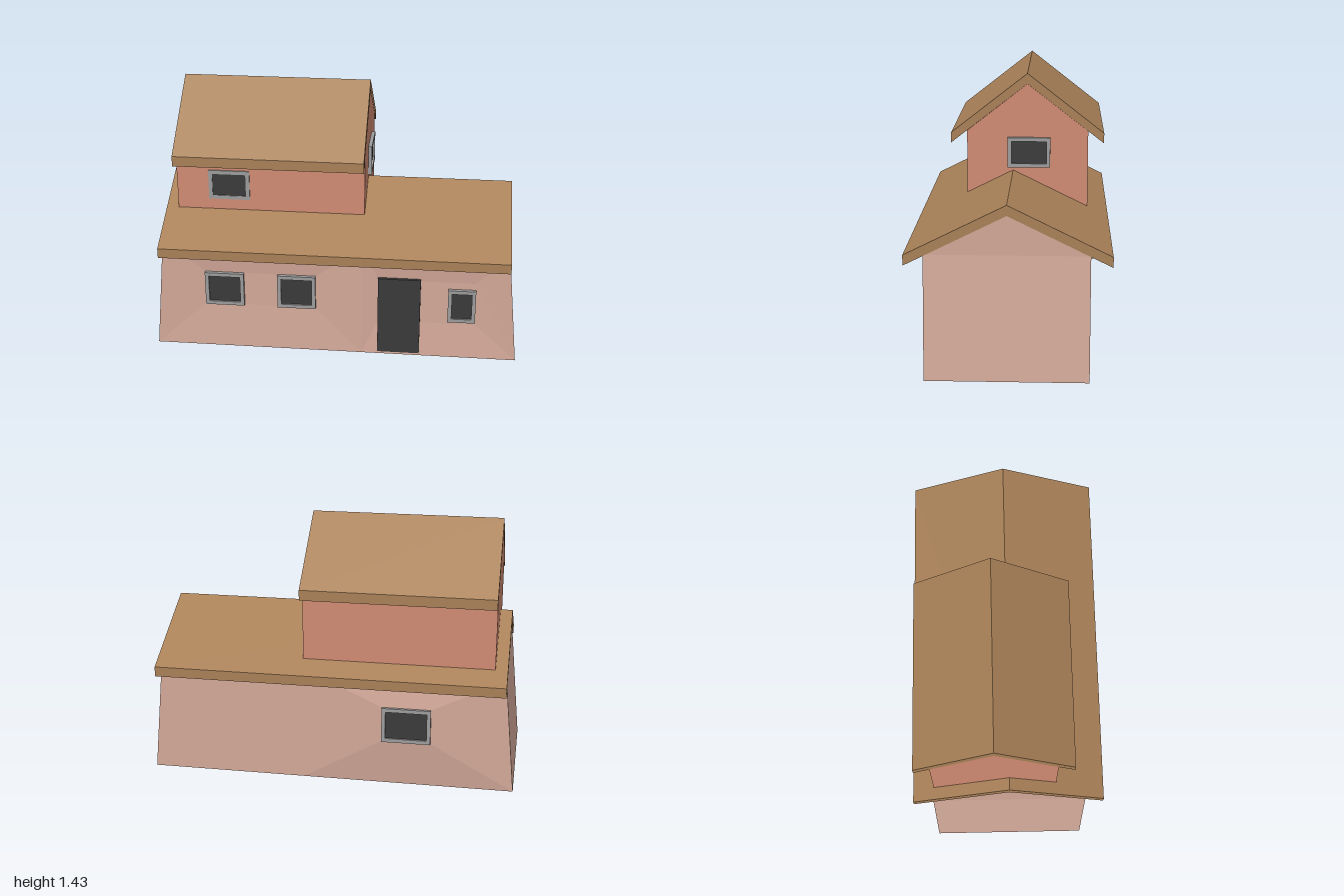
import * as THREE from 'three';

const material = (name, color) => {
  const m = new THREE.MeshStandardMaterial({ color });
  m.name = name;
  return m;
};

export function createModel() {
  const house = new THREE.Group();
  house.name = 'house';
  const lowerWall = material('pale pink plaster', 0xd2a898);
  const upperWall = material('terracotta plaster', 0xd08b73);
  const roofing = material('brown roofing', 0xa88057);
  const trim = material('grey trim', 0x9c9c9c);
  const dark = material('dark glass', 0x3a3a3a);

  const add = (parent, name, geometry, mat) => {
    const mesh = new THREE.Mesh(geometry, mat);
    mesh.name = name;
    parent.add(mesh);
    return mesh;
  };

  // Extrudes a (z, y) outline along x, from x0 to x1
  const extrudeX = (points, x0, x1) => {
    const shape = new THREE.Shape(points.map(([z, y]) => new THREE.Vector2(-z, y)));
    const g = new THREE.ExtrudeGeometry(shape, { depth: x1 - x0, bevelEnabled: false });
    return g.rotateY(Math.PI / 2).translate(x0, 0, 0);
  };

  // Chevron-shaped pitched roof with an even vertical thickness
  const addRoof = (name, x0, x1, zFront, zRidge, zBack, yEave, yRidge, t) =>
    add(house, name, extrudeX([
      [zFront, yEave - t], [zRidge, yRidge - t], [zBack, yEave - t],
      [zBack, yEave], [zRidge, yRidge], [zFront, yEave],
    ], x0, x1), roofing);

  // Lower walls: faces fan out from the corners to the rectangles around the openings
  const tri = [];
  const face = (...p) => {
    for (let i = 1; i < p.length - 1; i++) tri.push(...p[0], ...p[i], ...p[i + 1]);
  };
  const top = 0.64, topX = 0.94, zF = 0.42, zB = -0.41, seam = 0.15;
  const panel = (outer, [x0, y0, x1, y1], zOut, zIn) => {
    const a = outer.map(([x, y]) => [x, y, zOut]);
    const b = [[x0, y0, zIn], [x1, y0, zIn], [x1, y1, zIn], [x0, y1, zIn]];
    const put = (...p) => face(...(zOut > 0 ? p : p.reverse()));
    for (let i = 0; i < 4; i++) {
      const j = (i + 1) % 4;
      put(a[i], a[j], b[j], b[i]);
    }
    put(...b);
  };
  const longPart = [[-1, 0], [seam, 0], [seam, top], [-topX, top]];
  const shortPart = [[seam, 0], [1, 0], [topX, top], [seam, top]];
  panel(longPart, [-0.715, 0.26, -0.105, 0.455], zF, 0.403);
  panel(shortPart, [0.24, 0.2, 0.77, 0.455], zF, 0.403);
  panel(longPart, [-0.55, 0.26, -0.285, 0.455], zB, -0.44);
  face(...shortPart.map(([x, y]) => [x, y, zB]).reverse());
  for (const s of [1, -1]) {
    const slope = [[s, 0, zF], [s, 0, zB], [s * topX, top, zB], [s * topX, top, zF]];
    const gable = [[s * topX, top, zF], [s * topX, top, zB], [s * topX, 0.845, 0]];
    face(...(s > 0 ? slope : slope.reverse()));
    face(...(s > 0 ? gable : gable.reverse()));
  }
  face([-1, 0, zB], [1, 0, zB], [1, 0, zF], [-1, 0, zF]);
  const walls = new THREE.BufferGeometry();
  walls.setAttribute('position', new THREE.Float32BufferAttribute(tri, 3));
  walls.computeVertexNormals();
  add(house, 'lowerWalls', walls, lowerWall);
  addRoof('lowerRoof', -0.945, 0.945, 0.52, 0.005, -0.52, 0.638, 0.896, 0.054);

  // Upper storey with its gables
  add(house, 'upperWalls', extrudeX([
    [0.257, 0.66], [-0.405, 0.66], [-0.405, 1.115], [-0.073, 1.373], [0.257, 1.115],
  ], -0.879, 0.149), upperWall);
  addRoof('upperRoof', -0.88, 0.15, 0.345, -0.073, -0.492, 1.104, 1.43, 0.056);

  // Window: a hollow frame with a recessed pane, its outer face towards local +z
  const addWindow = (name, w, h, depth, position, turn) => {
    const g = new THREE.Group();
    g.name = name;
    const rect = (P, a, b) => new P([[-a, -b], [a, -b], [a, b], [-a, b]]
      .map(([x, y]) => new THREE.Vector2(x / 2, y / 2)));
    const shape = rect(THREE.Shape, w, h);
    shape.holes.push(rect(THREE.Path, w - 0.042, h - 0.042));
    const frame = new THREE.ExtrudeGeometry(shape, { depth, bevelEnabled: false });
    add(g, 'windowFrame', frame.translate(0, 0, -depth), trim);
    add(g, 'windowPane', new THREE.BoxGeometry(w - 0.04, h - 0.04, 0.006), dark)
      .position.z = -0.013;
    g.position.set(...position);
    g.rotation.y = turn;
    house.add(g);
  };
  addWindow('frontWindowRight', 0.215, 0.195, 0.03, [-0.608, 0.358, 0.423], 0);
  addWindow('frontWindowMiddle', 0.21, 0.195, 0.03, [-0.21, 0.358, 0.423], 0);
  addWindow('frontWindowLeft', 0.15, 0.195, 0.03, [0.695, 0.318, 0.423], 0);
  addWindow('backWindow', 0.265, 0.195, 0.03, [-0.418, 0.358, -0.456], Math.PI);
  addWindow('upperFrontWindow', 0.225, 0.167, 0.03, [-0.592, 0.915, 0.264], 0);
  addWindow('upperSideWindow', 0.233, 0.165, 0.03, [0.169, 0.997, -0.082], Math.PI / 2);

  // The upper front pane sits just clear of its wall
  house.getObjectByName('upperFrontWindow').getObjectByName('windowPane').position.z = -0.007;

  // Front door
  add(house, 'frontDoor', new THREE.BoxGeometry(0.232, 0.455, 0.03), dark)
    .position.set(0.354, 0.24, 0.406);
  return house;
}
